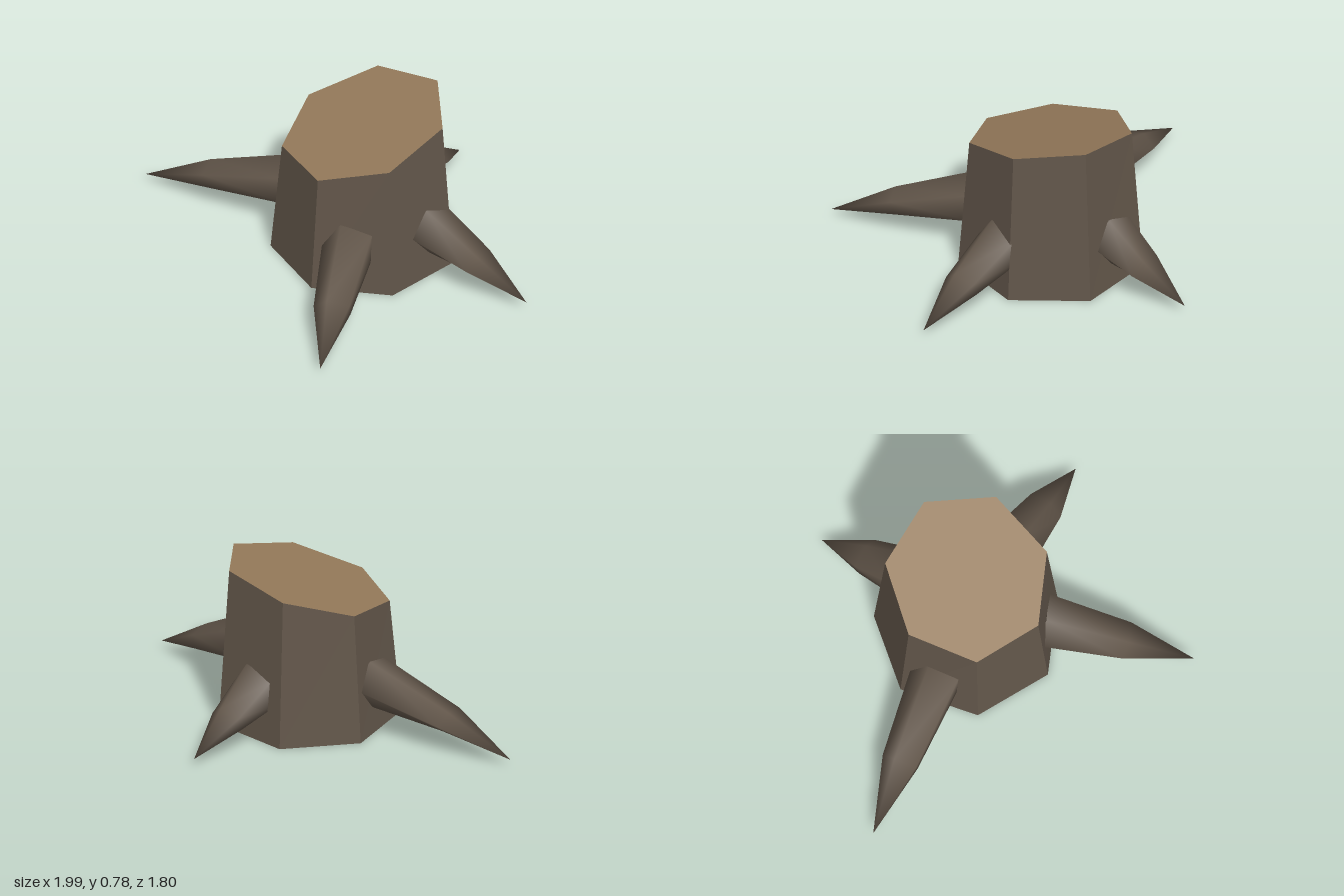
import * as THREE from 'three';

const CX = 0.11, CZ = -0.135; // trunk axis
const SIDES = 7;

function material(name, color) {
  const m = new THREE.MeshStandardMaterial({ color, side: THREE.DoubleSide });
  m.name = name;
  return m;
}

// Height of the slanted cut, relative to the trunk axis
const cutHeight = (x, z) => 0.671 + 0.21 * x - 0.195 * z;

function slant(geometry, isTop) {
  const p = geometry.attributes.position;
  for (let i = 0; i < p.count; i++) {
    p.setY(i, isTop(p.getY(i)) ? cutHeight(p.getX(i), p.getZ(i)) : 0);
  }
  const flat = geometry.toNonIndexed();
  flat.computeVertexNormals();
  return flat;
}

// Five-sided root pointing along +z: wide base ring, flatter knee ring, tip
function rootGeometry(length) {
  const rings = [
    { z: 0.34, y: 0.245, rx: 0.13, ry: 0.118, lean: 0.28 },
    { z: 0.7 * length, y: 0.152, rx: 0.094, ry: 0.053, lean: 0.35 },
  ];
  const pos = [], index = [];
  for (const r of rings) {
    for (let i = 0; i < 5; i++) {
      const a = Math.PI * (0.2 + 0.4 * i);
      const dy = r.ry * Math.sin(a);
      pos.push(r.rx * Math.cos(a), r.y + dy, r.z + r.lean * dy);
    }
  }
  pos.push(0, 0.038, length);
  for (let i = 0; i < 5; i++) {
    const j = (i + 1) % 5;
    index.push(i, j, 5 + j, i, 5 + j, 5 + i, 5 + i, 5 + j, 10);
  }
  // Separate base cap keeps its rim sharp
  pos.push(...pos.slice(0, 15));
  for (let i = 1; i < 4; i++) index.push(11, 11 + i + 1, 11 + i);
  const g = new THREE.BufferGeometry();
  g.setAttribute('position', new THREE.Float32BufferAttribute(pos, 3));
  g.setIndex(index);
  g.computeVertexNormals();
  return g;
}

export function createModel() {
  const bark = material('bark', 0x62564a);
  const wood = material('cut wood', 0x957a5a);
  const group = new THREE.Group();
  group.name = 'treeStump';

  const add = (name, geometry, mat) => {
    const mesh = new THREE.Mesh(geometry, mat);
    mesh.name = name;
    mesh.position.set(CX, 0, CZ);
    group.add(mesh);
    return mesh;
  };

  // Tapered trunk, open underneath
  const trunk = new THREE.CylinderGeometry(0.383, 0.435, 1, SIDES, 1, true, Math.PI / 2);
  add('trunk', slant(trunk, (y) => y > 0), bark);

  // Slanted cut face
  const cut = new THREE.CircleGeometry(0.383, SIDES).rotateX(-Math.PI / 2);
  add('cutFace', slant(cut, () => true), wood);

  // Roots radiating from the trunk, given by tip position
  const tips = {
    frontRoot: [0.3, 0.9],
    leftRoot: [0.99, 0.075],
    backRoot: [0.27, -0.905],
    rightRoot: [-1, -0.2],
  };
  for (const [name, [x, z]] of Object.entries(tips)) {
    const dx = x - CX, dz = z - CZ;
    const root = add(name, rootGeometry(Math.hypot(dx, dz)), bark);
    root.rotation.y = Math.atan2(dx, dz);
  }
  return group;
}
